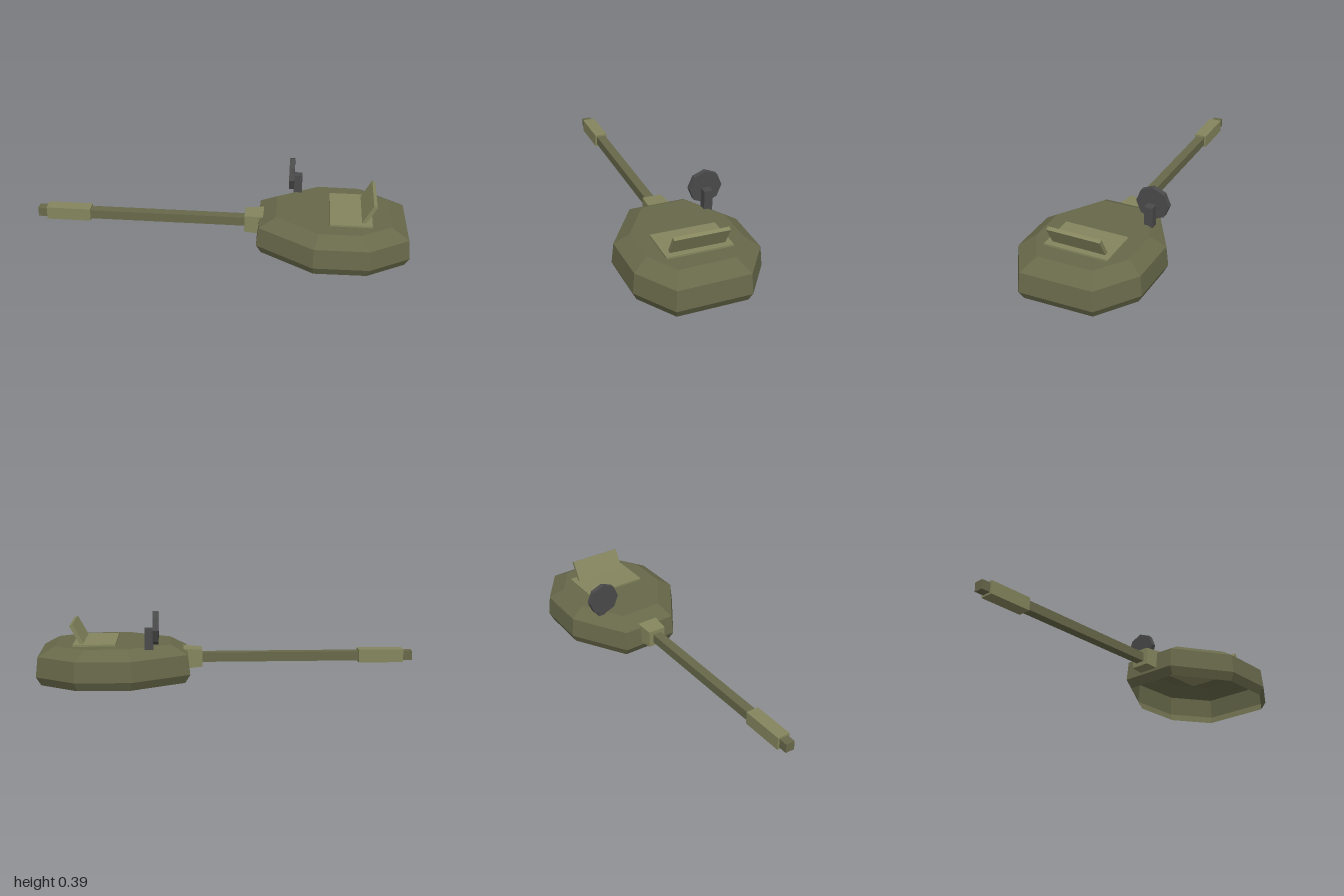
import * as THREE from 'three';

const paint = (color) => new THREE.MeshStandardMaterial({ color, flatShading: true, side: THREE.DoubleSide });

export function createModel() {
  const model = new THREE.Group();
  const olive = paint(0x68694a);
  const lightOlive = paint(0x85865e);
  const grey = paint(0x4a4a4a);

  const add = (name, geometry, material, x, y, z) => {
    const mesh = new THREE.Mesh(geometry, material);
    mesh.name = name;
    mesh.position.set(x, y, z);
    model.add(mesh);
    return mesh;
  };
  // box given by its minimum and maximum corners
  const addBox = (name, material, x0, x1, y0, y1, z0, z1) =>
    add(name, new THREE.BoxGeometry(x1 - x0, y1 - y0, z1 - z0), material,
      (x0 + x1) / 2, (y0 + y1) / 2, (z0 + z1) / 2);

  // turret shell: one eight-sided outline, scaled at each height, open below
  const outline = [[0.195, -0.165], [0.49, -0.34], [0.78, -0.335], [0.99, -0.187],
    [1.0, 0.202], [0.79, 0.335], [0.5, 0.34], [0.2, 0.145]];
  const levels = [[0, 0.935], [0.045, 1], [0.15, 0.972], [0.2, 0.75]];
  const positions = [];
  const indices = [];
  const n = outline.length;
  for (const [y, s] of levels) {
    for (const [x, z] of outline) positions.push(0.6 + (x - 0.6) * s, y, z * s);
  }
  for (let r = 0; r < levels.length - 1; r++) {
    for (let i = 0; i < n; i++) {
      const a = r * n + i;
      const b = r * n + (i + 1) % n;
      indices.push(a, a + n, b, b, a + n, b + n);
    }
  }
  const roof = (levels.length - 1) * n;
  for (let i = 1; i < n - 1; i++) indices.push(roof, roof + i + 1, roof + i);
  const shell = new THREE.BufferGeometry();
  shell.setAttribute('position', new THREE.Float32BufferAttribute(positions, 3));
  shell.setIndex(indices);
  const shellFlat = shell.toNonIndexed();
  shellFlat.computeVertexNormals();
  add('turretShell', shellFlat, olive, 0, 0, 0);

  // mantlet flares towards the turret
  const mantlet = new THREE.BoxGeometry(0.1, 0.092, 0.1);
  const p = mantlet.attributes.position;
  for (let i = 0; i < p.count; i++) {
    if (p.getX(i) > 0) p.setXYZ(i, p.getX(i), p.getY(i) * 1.17, p.getZ(i) * 1.15);
  }
  mantlet.computeVertexNormals();
  add('mantlet', mantlet, lightOlive, 0.18, 0.111, -0.01);

  // gun
  addBox('barrel', olive, -1, 0.15, 0.086, 0.136, -0.035, 0.015);
  addBox('muzzleSleeve', lightOlive, -0.95, -0.71, 0.076, 0.146, -0.045, 0.025);

  // open hatch
  addBox('hatchPlate', lightOlive, 0.58, 0.8, 0.19, 0.21, -0.17, 0.172);
  const lid = add('hatchLid', new THREE.BoxGeometry(0.02, 0.115, 0.284), lightOlive, 0.782, 0.258, 0.001);
  lid.rotation.z = -0.5;

  // searchlight on its post
  addBox('searchlightPost', grey, 0.383, 0.428, 0.19, 0.3, -0.225, -0.18);
  const lamp = new THREE.CylinderGeometry(0.088, 0.088, 0.028, 8);
  lamp.rotateZ(Math.PI / 2);
  add('searchlight', lamp, grey, 0.371, 0.302, -0.204);

  return model;
}
